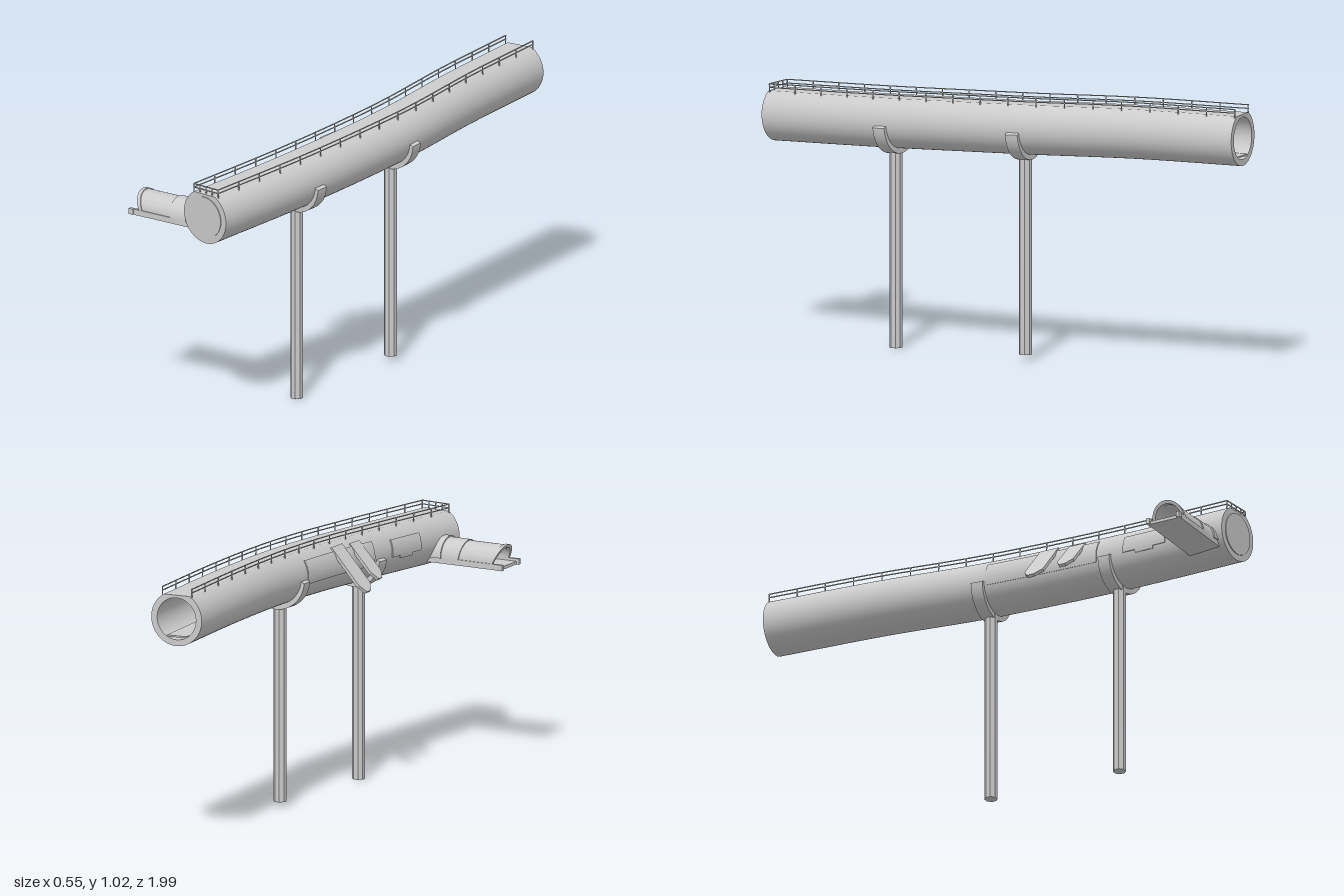
import * as THREE from 'three';
import { toCreasedNormals } from 'three/addons/utils/BufferGeometryUtils.js';

const mat = new THREE.MeshStandardMaterial({ color: 0xcccccc });
const matDouble = new THREE.MeshStandardMaterial({ color: 0xcccccc, side: THREE.DoubleSide });
const V = (x, y, z) => new THREE.Vector3(x, y, z);
const rad = THREE.MathUtils.degToRad;

// Centre line of the elevated tube, from back to front
const path = new THREE.CatmullRomCurve3([
  V(0.093, 0.9, -0.99), V(0.126, 0.897, -0.55), V(0.157, 0.884, -0.15),
  V(0.16, 0.873, 0.15), V(0.143, 0.857, 0.52), V(0.105, 0.839, 0.985),
]);
const R = 0.104, HOLE = 0.08, DECK = 0.09;
const RAIL = 0.06;

// Axes at a given z: side, up and forward along the path
function frameAt(z) {
  const u = THREE.MathUtils.clamp((z + 0.99) / 1.975, 0, 1);
  const p = path.getPointAt(u), t = path.getTangentAt(u);
  const n = V(t.z, 0, -t.x).normalize();
  return new THREE.Matrix4().makeBasis(n, t.clone().cross(n), t).setPosition(p);
}

function arc(r, a0, a1, steps, cx = 0, cy = 0) {
  return Array.from({ length: steps + 1 }, (_, i) => {
    const a = rad(a0 + (a1 - a0) * i / steps);
    return new THREE.Vector2(cx + r * Math.cos(a), cy + r * Math.sin(a));
  });
}

function rect(cx, cy, w, h) {
  return [[-1, -1], [1, -1], [1, 1], [-1, 1]].map(([a, b]) => new THREE.Vector2(cx + a * w / 2, cy + b * h / 2));
}

// Sweep a closed counter-clockwise profile along the path
function sweep(profile, z0, z1, steps, caps = true) {
  const pos = [], idx = [], n = profile.length;
  for (let i = 0; i <= steps; i++) {
    const m = frameAt(z0 + (z1 - z0) * i / steps);
    for (const q of profile) pos.push(...V(q.x, q.y, 0).applyMatrix4(m).toArray());
  }
  for (let i = 0; i < steps; i++) for (let j = 0; j < n; j++) {
    const k = (j + 1) % n, a = i * n + j, b = i * n + k;
    idx.push(a, b, b + n, a, b + n, a + n);
  }
  if (caps) for (const [a, b, c] of THREE.ShapeUtils.triangulateShape(profile, [])) {
    const o = steps * n;
    idx.push(a, c, b, o + a, o + b, o + c);
  }
  const g = new THREE.BufferGeometry();
  g.setAttribute('position', new THREE.Float32BufferAttribute(pos, 3));
  g.setIndex(idx);
  return toCreasedNormals(g, rad(30));
}

function add(parent, name, geo, material = mat) {
  const mesh = new THREE.Mesh(geo, material);
  mesh.name = name;
  parent.add(mesh);
  return mesh;
}

function makeTube() {
  const g = new THREE.Group();
  g.name = 'walkwayTube';
  // Round shell with a flat deck on top
  const edge = THREE.MathUtils.radToDeg(Math.asin(DECK / R));
  const outer = arc(R, 180 - edge, 360 + edge, 44);
  const inner = arc(HOLE, 360, 0, 40).slice(0, -1);
  add(g, 'outerShell', sweep(outer, -0.99, 0.985, 48, false));
  add(g, 'innerShell', sweep(inner, -0.99, 0.985, 48, false));
  add(g, 'innerFloor', sweep(rect(0, -0.068, 0.08, 0.006), -0.988, 0.975, 40));
  // End rims, and a round cover closing the front
  const ring = new THREE.Shape(outer);
  ring.holes.push(new THREE.Path(inner));
  const rim = new THREE.ShapeGeometry(ring);
  add(g, 'frontRim', rim.clone().applyMatrix4(frameAt(0.985)));
  add(g, 'backRim', rim.clone().rotateY(Math.PI).applyMatrix4(frameAt(-0.99)));
  const cover = new THREE.CylinderGeometry(HOLE, HOLE, 0.01, 40).rotateX(Math.PI / 2).translate(0, 0, -0.002);
  add(g, 'frontCover', cover.applyMatrix4(frameAt(0.985)));
  return g;
}

function makeRailings() {
  const g = new THREE.Group();
  g.name = 'railings';
  const bar = 0.0035, top = DECK + 0.027, mid = DECK + 0.013;
  for (const s of [-1, 1]) {
    for (const h of [top, mid]) add(g, 'sideRail', sweep(rect(s * RAIL, h, bar, bar), -0.988, 0.975, 40));
    for (let i = 0; i <= 17; i++) {
      const post = new THREE.BoxGeometry(bar, 0.038, bar).translate(s * RAIL, DECK + 0.008, 0);
      add(g, 'railPost', post.applyMatrix4(frameAt(-0.985 + 1.96 * i / 17)));
    }
  }
  // Short railing across the front end
  const front = frameAt(0.975);
  for (const h of [top, mid]) add(g, 'frontRail', new THREE.BoxGeometry(2 * RAIL, bar, bar).translate(0, h, 0).applyMatrix4(front));
  for (const x of [-0.03, 0, 0.03]) {
    add(g, 'frontPost', new THREE.BoxGeometry(bar, 0.03, bar).translate(x, DECK + 0.012, 0).applyMatrix4(front));
  }
  return g;
}

// Octagonal column with a crescent saddle under the tube
function makeSupport(x, z, base) {
  const g = new THREE.Group();
  g.name = 'support';
  const top = frameAt(z).elements[13] - 0.1, h = top - base;
  const column = new THREE.CylinderGeometry(0.0245, 0.0245, h, 8).rotateY(Math.PI / 8).translate(x, base + h / 2, z);
  add(g, 'column', toCreasedNormals(column, rad(20)));
  const saddle = [...arc(0.117, 184, 356, 28, 0, -0.007), ...arc(0.1, 356, 184, 28)];
  add(g, 'saddle', sweep(saddle, z - 0.025, z + 0.025, 2));
  return g;
}

// Thin raised panel on the right flank
function panel(g, name, r, z0, z1, a0, a1) {
  const profile = [...arc(r, a0, a1, 10), ...arc(0.098, a1, a0, 10)];
  add(g, name, sweep(profile, z0, z1, 12));
}

// Flat blade from the deck edge out and down to a pointed tip
function makeBlade(z, width, from, to) {
  const dx = to[0] - from[0], dy = to[1] - from[1], len = Math.hypot(dx, dy), w = width / 2;
  const shape = new THREE.Shape([
    [0, -w], [len - 0.035, -w], [len, -w * 0.45], [len, w * 0.3], [len - 0.03, w], [0, w],
  ].map(p => new THREE.Vector2(...p)));
  const geo = new THREE.ExtrudeGeometry(shape, { depth: 0.012, bevelEnabled: false });
  const along = V(dx / len, dy / len, 0), across = V(0, 0, 1);
  const m = new THREE.Matrix4().makeBasis(along, across, along.clone().cross(across));
  return geo.translate(0, 0, -0.006).applyMatrix4(m.setPosition(from[0], from[1], z));
}

function makeBranch() {
  const g = new THREE.Group();
  g.name = 'sideExit';
  const Z = 0.881, Y = 0.788;
  // Half-round canopy piece with a slanted outer end
  const arch = (name, r, thick, x0, x1, slant0, slant1) => {
    const shape = new THREE.Shape([...arc(r, 0, 180, 24), ...arc(r - thick, 180, 0, 24)]);
    const geo = new THREE.ExtrudeGeometry(shape, { depth: x1 - x0, bevelEnabled: false });
    geo.rotateY(Math.PI / 2).translate(x0, 0, 0);
    const p = geo.attributes.position, half = (x0 + x1) / 2;
    for (let i = 0; i < p.count; i++) {
      const k = p.getX(i) < half ? slant0 : slant1;
      p.setX(i, p.getX(i) + k * (r - p.getY(i)));
    }
    add(g, name, toCreasedNormals(geo, rad(30)).translate(0, Y, Z), matDouble);
  };
  arch('canopy', 0.064, 0.006, -0.255, -0.08, 0.45, 0);
  arch('canopyRim', 0.067, 0.012, -0.26, -0.245, 0.45, 0.45);
  arch('innerCanopy', 0.068, 0.01, -0.095, 0.05, 0.15, 0);
  arch('collar', 0.073, 0.015, -0.012, 0.05, 0, 0);
  const box = (name, x0, x1, y0, y1, z, w) =>
    add(g, name, new THREE.BoxGeometry(x1 - x0, y1 - y0, w).translate((x0 + x1) / 2, (y0 + y1) / 2, z));
  box('exitFloor', -0.265, 0.06, 0.768, 0.78, Z, 0.13);
  for (const s of [-1, 1]) {
    box('floorCurb', -0.27, 0.05, 0.768, 0.79, Z + s * 0.063, 0.01);
    box('curbEnd', -0.275, -0.255, 0.768, 0.79, Z + s * 0.064, 0.014);
  }
  return g;
}

export function createModel() {
  const model = new THREE.Group();
  model.name = 'elevatedWalkway';
  model.add(makeTube(), makeRailings(), makeBranch());
  model.add(makeSupport(0.139, 0.46, 0), makeSupport(0.157, -0.1, 0.022));

  // Raised panels on the right flank
  const panels = new THREE.Group();
  panels.name = 'sidePanels';
  panel(panels, 'longPanel', 0.1075, -0.07, 0.42, 145, 195);
  panel(panels, 'hatch', 0.1085, 0.54, 0.73, 152, 188);
  panel(panels, 'hatchTab', 0.1085, 0.595, 0.675, 186, 194);
  model.add(panels);

  // Two sloping blades
  add(model, 'largeBlade', makeBlade(0.193, 0.08, [0.085, 0.945], [-0.055, 0.787]));
  add(model, 'smallBlade', makeBlade(0.316, 0.07, [0.08, 0.935], [-0.034, 0.81]));
  return model;
}
